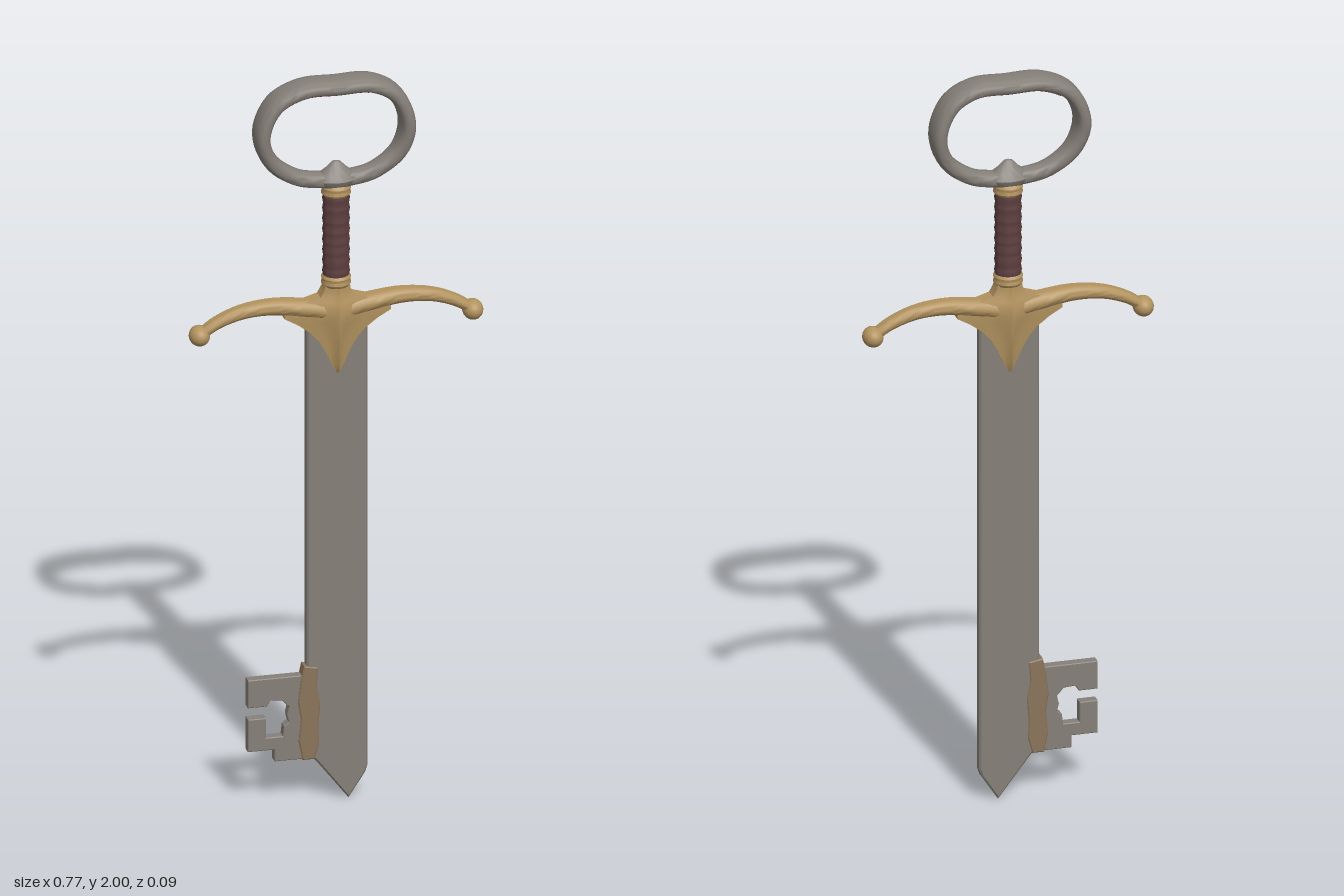
import * as THREE from 'three';
import { toCreasedNormals } from 'three/addons/utils/BufferGeometryUtils.js';

const mat = (name, color) => {
  const m = new THREE.MeshStandardMaterial({ color });
  m.name = name;
  return m;
};

// Skin a list of equal-sized cross-sections; closed joins last to first, otherwise ends are capped
function loft(rings, closed, crease = 0.7) {
  const n = rings[0].length, pos = [], idx = [];
  rings.forEach(r => r.forEach(p => pos.push(p.x, p.y, p.z)));
  const last = closed ? rings.length : rings.length - 1;
  for (let i = 0; i < last; i++) {
    const a = i * n, b = ((i + 1) % rings.length) * n;
    for (let j = 0; j < n; j++) {
      const k = (j + 1) % n;
      idx.push(a + j, a + k, b + j, a + k, b + k, b + j);
    }
  }
  if (!closed) {
    const e = (rings.length - 1) * n;
    for (let j = 1; j < n - 1; j++) idx.push(0, j + 1, j, e, e + j, e + j + 1);
  }
  // Turn the faces outward when the enclosed volume is negative
  const v = i => new THREE.Vector3().fromArray(pos, i * 3);
  let volume = 0;
  for (let i = 0; i < idx.length; i += 3) volume += v(idx[i]).dot(v(idx[i + 1]).cross(v(idx[i + 2])));
  if (volume < 0) idx.reverse();
  const g = new THREE.BufferGeometry();
  g.setAttribute('position', new THREE.Float32BufferAttribute(pos, 3));
  g.setIndex(idx);
  return toCreasedNormals(g, crease);
}

// Flat plate from an outline, centred on z = 0, with chamfered edges
function plate(points, halfDepth, bevel) {
  const shape = new THREE.Shape(points.map(p => new THREE.Vector2(...p)));
  const g = new THREE.ExtrudeGeometry(shape, {
    depth: 2 * (halfDepth - bevel), bevelEnabled: bevel > 0,
    bevelThickness: bevel, bevelSize: bevel, bevelOffset: -bevel, bevelSegments: 1,
  });
  return g.translate(0, 0, bevel - halfDepth);
}

const lathe = (profile, sides = 28) =>
  toCreasedNormals(new THREE.LatheGeometry(profile.map(p => new THREE.Vector2(...p)), sides), 0.8);

// Sweep a rounded section (half sizes a in plane, b along z) along a flat curve
function sweep(curve, params, size, closed, power = 1) {
  const rings = params.map((u, i) => {
    const w = ((u % 1) + 1) % 1, t = u === 1 ? 1 : w;
    const p = curve.getPointAt(t), d = curve.getTangentAt(t);
    const [a, b, shift = 0] = size(p, i / (params.length - 1));
    const ring = [];
    for (let j = 0; j < 20; j++) {
      const th = j / 20 * Math.PI * 2, c = Math.cos(th), s = Math.sin(th);
      const r = shift + a * Math.sign(c) * Math.abs(c) ** power;
      const z = b * Math.sign(s) * Math.abs(s) ** power;
      ring.push(new THREE.Vector3(p.x - d.y * r, p.y + d.x * r, z));
    }
    return ring;
  });
  return loft(rings, closed, 0.9);
}

const steps = (from, to, n, open = 1) =>
  Array.from({ length: n + open }, (_, i) => from + (to - from) * i / n);

export function createModel() {
  const group = new THREE.Group();
  const steel = mat('steel', 0x857f78);
  const brass = mat('brass', 0xb3935f);
  const leather = mat('leather', 0x5e4040);
  const rust = mat('rust', 0x8a745b);
  const add = (name, geometry, material, parent = group) => {
    const m = new THREE.Mesh(geometry, material);
    m.name = name;
    parent.add(m);
    return m;
  };

  // Blade with an off-centre point
  add('blade', plate([
    [-0.08, 1.36], [-0.08, 0.14], [-0.055, 0.11], [0.03, 0], [0.073, 0.065], [0.08, 0.085], [0.08, 1.36],
  ], 0.016, 0.005), steel);

  // Key bit with its notch and ward cutout
  add('keyBit', plate([
    [-0.07, 0.352], [-0.235, 0.352], [-0.235, 0.275], [-0.185, 0.275], [-0.176, 0.29], [-0.145, 0.288],
    [-0.127, 0.268], [-0.132, 0.245], [-0.127, 0.225], [-0.14, 0.215], [-0.143, 0.188], [-0.187, 0.188],
    [-0.187, 0.243], [-0.235, 0.243], [-0.235, 0.153], [-0.165, 0.153], [-0.165, 0.12], [-0.07, 0.12],
  ], 0.014, 0.002), steel);

  // Ragged weld joining the bit to the blade
  add('weldSeam', plate([
    [-0.088, 0.378], [-0.05, 0.372], [-0.054, 0.32], [-0.045, 0.27], [-0.05, 0.21], [-0.048, 0.16],
    [-0.06, 0.118], [-0.092, 0.118], [-0.102, 0.17], [-0.096, 0.23], [-0.104, 0.28], [-0.096, 0.34],
  ], 0.0185, 0.003), rust);

  // Guard centre: ridged on front and back, drawn down to a point
  const guard = new THREE.Group();
  guard.name = 'guard';
  group.add(guard);
  const sections = [ // height, half width, ridge depth
    [1.19, 0.004, 0.028], [1.22, 0.02, 0.034], [1.25, 0.033, 0.037], [1.28, 0.05, 0.04], [1.305, 0.072, 0.042],
    [1.33, 0.105, 0.044], [1.35, 0.14, 0.045], [1.37, 0.14, 0.045], [1.388, 0.085, 0.042], [1.4, 0.045, 0.037],
    [1.42, 0.034, 0.032], [1.44, 0.031, 0.03],
  ];
  add('guardCentre', loft(sections.map(([y, w, d]) => {
    const front = [[1, 0.019], [0.6, 0.022], [0.3, 0.027], [0.12, d * 0.88], [0, d]];
    const half = [...front, ...front.slice(0, 4).reverse().map(([x, z]) => [-x, z])];
    const back = half.map(([x, z]) => [-x, -z]);
    return [...half, ...back].map(([x, z]) => new THREE.Vector3(x * w, y, z));
  }), false, 0.6), brass, guard);

  // Curved guard arms ending in balls
  for (const s of [1, -1]) {
    const curve = new THREE.CatmullRomCurve3([
      [0, 1.355], [0.09, 1.371], [0.17, 1.381], [0.25, 1.374], [0.32, 1.348], [0.362, 1.318],
    ].map(([x, y]) => new THREE.Vector3(s * x, y, 0)));
    const side = s > 0 ? 'left' : 'right';
    add(side + 'GuardArm', sweep(curve, steps(0, 1, 24),
      (p, t) => [0.028 - 0.014 * t, 0.034 - 0.015 * t], false), brass, guard);
    const ball = add(side + 'GuardBall', new THREE.SphereGeometry(0.027, 24, 16), brass, guard);
    ball.position.set(s * 0.36, 1.32, 0);
    ball.scale.z = 1.22;
  }

  // Wrapped grip between two collars
  const wrap = [[0, 1.43]];
  for (let i = 0; i <= 36; i++) wrap.push([0.0345 + 0.0012 * Math.sin(i * Math.PI / 2), 1.43 + i * 0.26 / 36]);
  wrap.push([0, 1.69]);
  add('grip', lathe(wrap), leather);
  const collar = [[0, -0.016], [0.033, -0.016], [0.039, -0.008], [0.036, 0], [0.039, 0.008], [0.033, 0.016], [0, 0.016]];
  for (const [name, y] of [['lowerCollar', 1.442], ['upperCollar', 1.692]])
    add(name, lathe(collar), brass).position.y = y;

  // Pommel bow: a wide rounded band, narrower toward the grip
  const bow = new THREE.CatmullRomCurve3([
    [0, 1.981], [0.09, 1.979], [0.155, 1.942], [0.187, 1.86], [0.165, 1.785], [0.1, 1.735], [0.045, 1.722],
    [0, 1.72], [-0.045, 1.722], [-0.105, 1.735], [-0.172, 1.785], [-0.197, 1.86], [-0.163, 1.942], [-0.09, 1.979],
  ].map(([x, y]) => new THREE.Vector3(x, y, 0)), true);
  bow.arcLengthDivisions = 400;
  const width = y => 0.026 + 0.019 * THREE.MathUtils.smoothstep(y, 1.71, 1.88);
  add('pommelBow', sweep(bow, steps(0, 1, 72, 0), p => [0.02, width(p.y)], true, 0.75), steel);

  // Dark lining under the top of the bow
  add('bowLining', sweep(bow, steps(-0.14, 0.08, 20),
    p => [0.0015, 0.026, -0.0195], false, 0.6), leather);

  // Steel neck rising to a small peak inside the bow
  const neck = add('pommelNeck', lathe([
    [0, 1.695], [0.034, 1.697], [0.05, 1.708], [0.058, 1.722], [0.045, 1.738], [0.026, 1.753], [0.012, 1.768], [0, 1.772],
  ]), steel);
  neck.scale.z = 0.65;

  return group;
}
